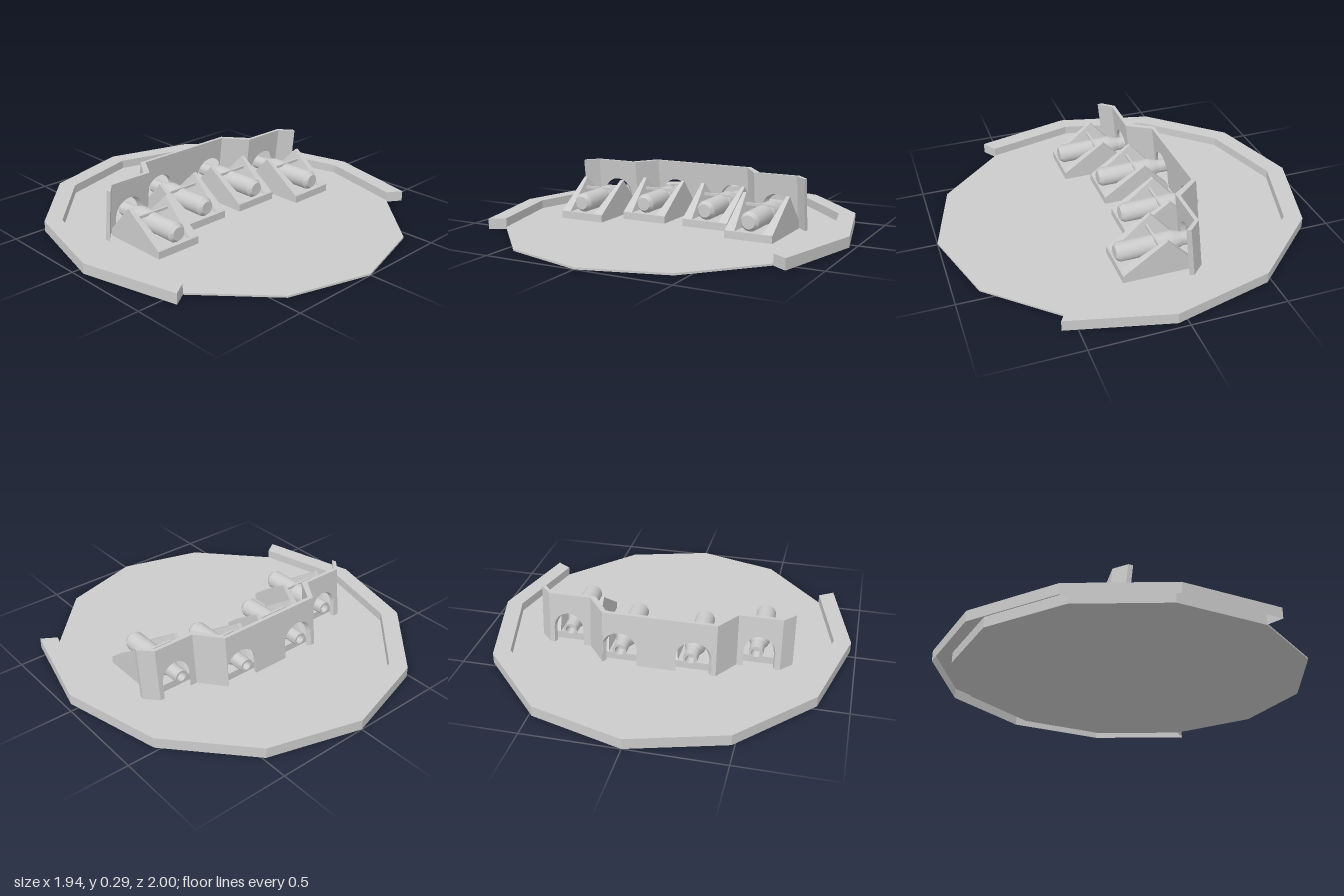
import * as THREE from 'three';
import { toCreasedNormals } from 'three/addons/utils/BufferGeometryUtils.js';

const grey = new THREE.MeshStandardMaterial({ color: 0xcccccc, side: THREE.DoubleSide });
const flat = new THREE.MeshStandardMaterial({ color: 0xcccccc, flatShading: true });

function add(parent, name, geometry, material = grey) {
  const mesh = new THREE.Mesh(geometry, material);
  mesh.name = name;
  parent.add(mesh);
  return mesh;
}

// Move every vertex by a rule, then rebuild the normals
function warp(geometry, rule) {
  const p = geometry.attributes.position;
  const v = new THREE.Vector3();
  for (let i = 0; i < p.count; i++) {
    rule(v.fromBufferAttribute(p, i));
    p.setXYZ(i, v.x, v.y, v.z);
  }
  geometry.computeVertexNormals();
  return geometry;
}

// Raised rim around the back two thirds of the deck, hollow underneath
function rimGeometry() {
  const top = 0.057;
  const section = (k) => {
    const a = (k * Math.PI) / 6;
    const at = (rx, rz, y) => [rx * Math.sin(a), y, 0.05 - rz * Math.cos(a)];
    return [at(0.97, 1.05, 0), at(0.97, 1.05, top), at(0.88, 0.95, top), at(0.88, 0.95, 0)];
  };
  const out = [];
  const quad = (a, b, c, d) => out.push(...a, ...b, ...c, ...a, ...c, ...d);
  for (let k = -4; k < 4; k++) {
    const s = section(k), n = section(k + 1);
    for (let j = 0; j < 3; j++) quad(s[j], s[j + 1], n[j + 1], n[j]);
  }
  quad(...section(-4).reverse());
  quad(...section(4));
  const g = new THREE.BufferGeometry();
  g.setAttribute('position', new THREE.Float32BufferAttribute(out, 3));
  g.computeVertexNormals();
  return g;
}

// Plan of the wall at its top edge: front x, front z, back x, back z
const wallPlan = [
  [-0.68, -0.1, -0.685, -0.125],
  [-0.62, -0.17, -0.627, -0.19],
  [-0.375, -0.17, -0.4, -0.19],
  [-0.295, -0.3, -0.315, -0.32],
  [0.27, -0.3, 0.285, -0.32],
  [0.365, -0.17, 0.39, -0.19],
  [0.61, -0.17, 0.617, -0.19],
  [0.675, -0.1, 0.68, -0.125],
];
const engines = [[-0.5, 0.2], [-0.185, 0.065], [0.185, 0.065], [0.495, 0.2]];

// One leaning wall panel with arches cut up from its lower edge
function panelGeometry(a, b, arches) {
  const low = 0.01, high = 0.29, r = 0.088;
  const s = new THREE.Shape();
  s.moveTo(a[0], low);
  for (const x of arches) {
    s.lineTo(x - r, low);
    s.lineTo(x - r, 0.095);
    s.absarc(x, 0.095, r, Math.PI, 0, true);
    s.lineTo(x + r, low);
  }
  s.lineTo(b[0], low);
  s.lineTo(b[0], high);
  s.lineTo(a[0], high);
  const g = new THREE.ExtrudeGeometry(s, { depth: 1, bevelEnabled: false, curveSegments: 12 });
  return warp(g, (v) => {
    const t = (v.x - a[0]) / (b[0] - a[0]);
    const o = v.z > 0.5 ? 0 : 2;
    const lean = ((high - v.y) / (high - low)) * 0.03;
    v.x = THREE.MathUtils.lerp(a[o], b[o], t);
    v.z = THREE.MathUtils.lerp(a[o + 1], b[o + 1], t) - lean;
  });
}

// Triangular cheek, thicker at its foot than at its peak
function cheekGeometry() {
  const s = new THREE.Shape();
  [[0, 0.045], [-0.01, 0.055], [-0.23, 0.208], [-0.375, 0.05], [-0.375, 0.045]]
    .forEach(([z, y], i) => (i ? s.lineTo(z, y) : s.moveTo(z, y)));
  const g = new THREE.ExtrudeGeometry(s, { depth: 0.055, bevelEnabled: false });
  g.rotateY(-Math.PI / 2).translate(0.13, 0, 0);
  return warp(g, (v) => {
    if (v.x < 0.1) v.x = 0.075 + (0.037 * (v.y - 0.045)) / 0.163;
  });
}

// Engine body, its shoulder and hollow rear nozzle, lying along z
function engineGeometry() {
  const profile = [[0, 0], [0.036, 0], [0.052, 0.022], [0.052, 0.21], [0.056, 0.215],
    [0.056, 0.3], [0.037, 0.355], [0.037, 0.435], [0.025, 0.435], [0.018, 0.39], [0, 0.39]];
  const g = new THREE.LatheGeometry(profile.map(([r, d]) => new THREE.Vector2(r, d)), 14);
  g.rotateX(-Math.PI / 2);
  return toCreasedNormals(g, 0.5);
}

export function createModel() {
  const model = new THREE.Group();
  model.name = 'engineDeck';

  // Twelve-sided deck and rim
  const deck = new THREE.CylinderGeometry(0.88, 0.88, 0.01, 12);
  deck.scale(1, 1, 0.95 / 0.88).translate(0, 0.005, 0.05);
  add(model, 'deck', deck, flat);
  add(model, 'rim', rimGeometry());

  // Folded shield wall
  const wall = new THREE.Group();
  wall.name = 'shieldWall';
  model.add(wall);
  for (let i = 0; i < wallPlan.length - 1; i++) {
    const a = wallPlan[i], b = wallPlan[i + 1];
    const arches = engines.map((e) => e[0]).filter((x) => x > a[0] && x < b[0]);
    add(wall, 'wallPanel', panelGeometry(a, b, arches));
  }

  // Four engines on their cradles
  const cheek = cheekGeometry(), engine = engineGeometry();
  for (const [x, z] of engines) {
    const unit = new THREE.Group();
    unit.name = 'engineUnit';
    unit.position.set(x, 0, z);
    model.add(unit);
    add(unit, 'cradleBase', new THREE.BoxGeometry(0.26, 0.04, 0.375).translate(0, 0.03, -0.1875));
    for (const side of [-1, 1]) add(unit, 'cradleCheek', cheek).scale.x = side;
    add(unit, 'strap', new THREE.BoxGeometry(0.2, 0.014, 0.012).translate(0, 0.153, -0.205));
    add(unit, 'engine', engine).position.y = 0.105;
  }
  return model;
}
